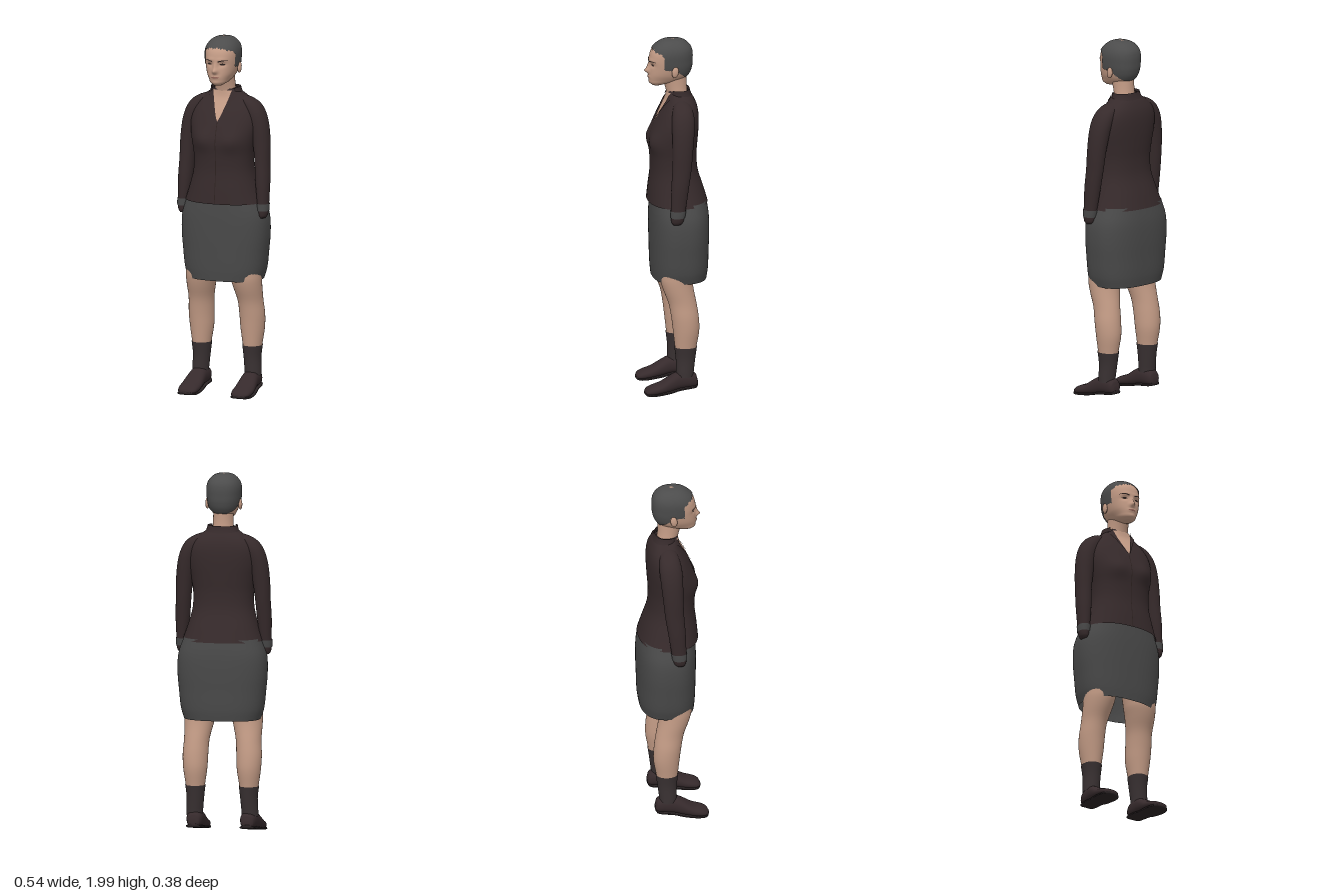
import * as THREE from 'three';

const mat = (name, color) => {
  const m = new THREE.MeshStandardMaterial({ color, side: THREE.DoubleSide });
  m.name = name;
  return m;
};

// Cross-sections: [height, centre x, half width, front z, back z]
const HEAD = [
  [1.735, 0, .022, .12, .07], [1.75, 0, .045, .136, .02], [1.77, 0, .06, .141, -.05],
  [1.80, 0, .076, .141, -.08], [1.84, 0, .086, .138, -.094], [1.88, 0, .09, .139, -.097],
  [1.92, 0, .09, .132, -.096], [1.95, 0, .081, .115, -.087], [1.975, 0, .062, .086, -.064],
  [1.99, 0, .037, .056, -.036], [1.995, 0, .008, .02, -.005]];
const NECK = [
  [1.58, 0, .075, .06, -.08], [1.66, 0, .062, .04, -.078], [1.72, 0, .056, .05, -.07], [1.79, 0, .056, .075, -.07]];
const TORSO = [
  [1.075, 0, .222, .15, -.18], [1.15, 0, .196, .143, -.158], [1.25, 0, .17, .132, -.127],
  [1.34, 0, .168, .134, -.12], [1.42, 0, .18, .138, -.125], [1.5, 0, .192, .118, -.13],
  [1.57, 0, .188, .088, -.13], [1.62, 0, .165, .062, -.122], [1.66, 0, .122, .044, -.105],
  [1.69, 0, .08, .04, -.085], [1.705, 0, .065, .038, -.076]];
const COLLAR = [[1.665, 0, .098, .03, -.1], [1.69, 0, .088, .034, -.09], [1.712, 0, .083, .036, -.084]];
const SKIRT = [
  [.64, 0, .212, .125, -.172], [.7, 0, .229, .13, -.18], [.8, 0, .24, .133, -.183], [.9, 0, .248, .135, -.186],
  [1.0, 0, .243, .135, -.184], [1.09, 0, .213, .132, -.172]];
const LEG = [
  [.12, .155, .043, .01, -.08], [.2, .15, .045, .012, -.09], [.27, .15, .053, .02, -.1],
  [.36, .15, .066, .03, -.115], [.44, .15, .07, .04, -.112], [.52, .145, .07, .055, -.1],
  [.6, .137, .08, .085, -.085], [.66, .13, .088, .1, -.08], [.8, .12, .095, .1, -.09]];
const ARM = [
  [.995, .235, .016, .045, .0], [1.01, .236, .025, .053, -.012], [1.04, .236, .03, .055, -.02],
  [1.1, .233, .033, .055, -.03], [1.2, .228, .04, .052, -.045], [1.3, .222, .042, .045, -.06],
  [1.4, .215, .047, .042, -.07], [1.5, .2, .052, .042, -.08], [1.57, .178, .055, .04, -.085],
  [1.62, .148, .055, .03, -.08], [1.65, .118, .042, .015, -.065], [1.665, .105, .015, -.01, -.04]];
// Shoe sections run heel to toe: [z, centre x, half width, bottom, top]
const SHOE = [
  [-.105, .15, .02, .045, .08], [-.095, .15, .035, .036, .11], [-.06, .15, .045, .032, .126],
  [0, .153, .048, .025, .126], [.04, .155, .052, .015, .108], [.1, .157, .058, .006, .07],
  [.15, .157, .056, .001, .052], [.18, .157, .042, .002, .036], [.19, .157, .015, .008, .02]];

// Smooth section values at any height
function sectionAt(rows, y) {
  let i = 0;
  while (i < rows.length - 2 && y > rows[i + 1][0]) i++;
  const a = rows[i], b = rows[i + 1], h = b[0] - a[0];
  const t = Math.min(1, Math.max(0, (y - a[0]) / h));
  const slope = (k, c) => {
    const p = rows[Math.max(0, k - 1)], q = rows[Math.min(rows.length - 1, k + 1)];
    return (q[c] - p[c]) / (q[0] - p[0]);
  };
  return [1, 2, 3, 4].map(c => {
    const t2 = t * t, t3 = t2 * t;
    return a[c] * (2 * t3 - 3 * t2 + 1) + b[c] * (3 * t2 - 2 * t3)
      + h * (slope(i, c) * (t3 - 2 * t2 + t) + slope(i + 1, c) * (t3 - t2));
  });
}

function makeGeometry(pos, idx) {
  const g = new THREE.BufferGeometry();
  g.setAttribute('position', new THREE.Float32BufferAttribute(pos, 3));
  g.setIndex(idx);
  g.computeVertexNormals();
  return g;
}

// Superellipse loft; bump shifts the front in z, keep selects faces
function loft(rows, { y0 = rows[0][0], y1 = rows.at(-1)[0], grow = 0, n = 2.3, seg = 48, sub = 4, side = 1, bump, keep, cap } = {}) {
  const ys = [y0];
  for (let i = 0; i < rows.length - 1; i++) for (let k = 0; k < sub; k++) {
    const y = rows[i][0] + (rows[i + 1][0] - rows[i][0]) * k / sub;
    if (y > y0 + 1e-5 && y < y1 - 1e-5) ys.push(y);
  }
  ys.push(y1);
  const pos = [], idx = [], pw = v => Math.sign(v) * Math.abs(v) ** (2 / n);
  for (const y of ys) {
    const [cx, hw, zf, zb] = sectionAt(rows, y);
    for (let j = 0; j < seg; j++) {
      const a = j / seg * Math.PI * 2, x = (hw + grow) * pw(Math.cos(a));
      let z = (zf + zb) / 2 + ((zf - zb) / 2 + grow) * pw(Math.sin(a));
      if (bump && Math.sin(a) > 0) z += bump(x, y);
      pos.push(cx * side + x, y, z);
    }
  }
  const tri = (...t) => {
    const m = [0, 1, 2].map(c => t.reduce((s, v) => s + pos[v * 3 + c], 0) / 3);
    if (!keep || keep(...m)) idx.push(...t);
  };
  for (let i = 0; i < ys.length - 1; i++) for (let j = 0; j < seg; j++) {
    const a = i * seg + j, b = i * seg + (j + 1) % seg;
    tri(a, a + seg, b);
    tri(b, a + seg, b + seg);
  }
  if (cap) for (const i of [0, ys.length - 1]) {
    const [cx, , zf, zb] = sectionAt(rows, ys[i]), c = pos.length / 3;
    pos.push(cx * side, ys[i], (zf + zb) / 2);
    for (let j = 0; j < seg; j++) {
      const a = i * seg + j, b = i * seg + (j + 1) % seg;
      i ? tri(c, b, a) : tri(c, a, b);
    }
  }
  return makeGeometry(pos, idx);
}

// Thin sheet laid on the front of a loft; shape maps (u, v) to (x, y)
function patch(rows, bump, lift, shape, nu = 10, nv = 12) {
  const pos = [], idx = [], n = 2.3;
  for (let j = 0; j <= nv; j++) for (let i = 0; i <= nu; i++) {
    const [x, y] = shape(i / nu, j / nv), [, hw, zf, zb] = sectionAt(rows, y);
    const s = Math.max(0, 1 - Math.abs(x / hw) ** n) ** (1 / n);
    pos.push(x, y, (zf + zb) / 2 + (zf - zb) / 2 * s + bump(x, y) + lift);
    if (i < nu && j < nv) {
      const a = j * (nu + 1) + i, b = a + nu + 1;
      idx.push(a, a + 1, b, a + 1, b + 1, b);
    }
  }
  return makeGeometry(pos, idx);
}

const blob = (x, y, cx, cy, sx, sy) => Math.exp(-(((x - cx) / sx) ** 2) - ((y - cy) / sy) ** 2);
// Nose, eye sockets, brow and lips
const faceBump = (x, y) => {
  const ax = Math.abs(x);
  return .024 * blob(x, y, 0, 1.818, .015, .014) + .013 * blob(x, y, 0, 1.842, .011, .022)
    - .01 * blob(ax, y, .037, 1.856, .02, .012) + .004 * blob(ax, y, .03, 1.882, .03, .01)
    + .005 * blob(x, y, 0, 1.785, .022, .01) + .004 * blob(x, y, 0, 1.75, .02, .012);
};
const bustBump = (x, y) => .016 * blob(Math.abs(x), y, .085, 1.425, .06, .055);
// Jagged hairline around forehead, temples, ears and nape
const isHair = (x, y, z) => {
  const jag = .004 * Math.sin(x * 400) + .003 * Math.sin(x * 170 + 1);
  if (z > .068) return y > 1.915 + (z - .068) * .5 + jag;
  if (z > -.012) return y > 1.84 + jag;
  return y > Math.max(1.768, 1.82 + (z + .012) * .8);
};

export function createModel() {
  const skin = mat('skin', 0xc49c86), hair = mat('hair', 0x4c4c4c), cloth = mat('top cloth', 0x362a2b),
    skirt = mat('skirt cloth', 0x494949), sock = mat('sock', 0x393132), leather = mat('shoe leather', 0x362a2c),
    sole = mat('shoe sole', 0x2a2324), dark = mat('brow and eye', 0x2c211f), lip = mat('lips', 0x95665a);
  const model = new THREE.Group();
  const add = (name, geometry, material) => {
    const m = new THREE.Mesh(geometry, material);
    m.name = name;
    model.add(m);
    return m;
  };

  // Head and neck
  add('head', loft(HEAD, { seg: 96, sub: 6, bump: faceBump, cap: true }), skin);
  add('hair', loft(HEAD, { seg: 128, sub: 10, grow: .005, y0: 1.765, keep: isHair, cap: true }), hair);
  add('neck', loft(NECK, { n: 2 }), skin);
  add('mouth', patch(HEAD, faceBump, .002, (u, v) => {
    const x = (u - .5) * .05;
    return [x, 1.784 + (v - .5) * .011 * (1 - (2 * u - 1) ** 2)];
  }), lip);

  // Top with open neckline and centre closure
  add('top', loft(TORSO, { seg: 64, bump: bustBump }), cloth);
  add('collar', loft(COLLAR, { keep: (x, y, z) => z < .015 || Math.abs(x) > .065 }), cloth);
  const vWidth = v => .056 * v ** .8;
  add('neckline', patch(TORSO, bustBump, .003, (u, v) => [(2 * u - 1) * vWidth(v), 1.53 + .165 * v]), skin);
  add('closure', patch(TORSO, bustBump, .002, (u, v) => [(u - .5) * .004, 1.078 + .452 * v], 2, 24), dark);

  add('skirt', loft(SKIRT, { seg: 64, n: 2.5 }), skirt);

  for (const side of [1, -1]) {
    const label = side > 0 ? 'left' : 'right';
    // Face details
    add(label + 'Brow', patch(HEAD, faceBump, .003, (u, v) =>
      [side * (.016 + .05 * u), 1.872 + .007 * Math.sin(u * 2.4) + (v - .5) * .007 * (1 - .6 * u)]), dark);
    add(label + 'Eye', patch(HEAD, faceBump, .003, (u, v) =>
      [side * (.022 + .032 * u), 1.856 + (v - .5) * .011 * Math.sin(Math.PI * u)]), dark);
    const ear = add(label + 'Ear', new THREE.SphereGeometry(1, 16, 12), skin);
    ear.scale.set(.011, .031, .019);
    ear.position.set(side * .092, 1.825, .008);
    ear.rotation.x = -.15;
    // Collar flap along the neckline
    add(label + 'Lapel', patch(TORSO, bustBump, .007, (u, v) =>
      [side * (vWidth(v) + u * (.004 + .026 * v * v)), 1.53 + .165 * v - .02 * u * v]), cloth);
    // Arm, hand and cuff band
    add(label + 'Arm', loft(ARM, { side, n: 2.1, seg: 32, cap: true }), cloth);
    add(label + 'Cuff', loft(ARM, { side, n: 2.1, seg: 32, y0: 1.035, y1: 1.075, grow: .003 }), skirt);
    // Leg, sock and shoe
    add(label + 'Leg', loft(LEG, { side, n: 2, seg: 32, y0: .25 }), skin);
    add(label + 'Sock', loft(LEG, { side, n: 2, seg: 32, y0: .1, y1: .268, grow: .003 }), sock);
    const lay = (rows, n) => loft(rows, { side, n, seg: 32, cap: true }).rotateX(Math.PI / 2);
    add(label + 'Shoe', lay(SHOE.map(([z, x, w, b, t]) => [z, x, w, -b - .002, -t]), 2.3), leather);
    add(label + 'Sole', lay(SHOE.map(([z, x, w, b]) => [z, x, w + .003, -b, -b - .014]), 4), sole);
  }
  return model;
}
